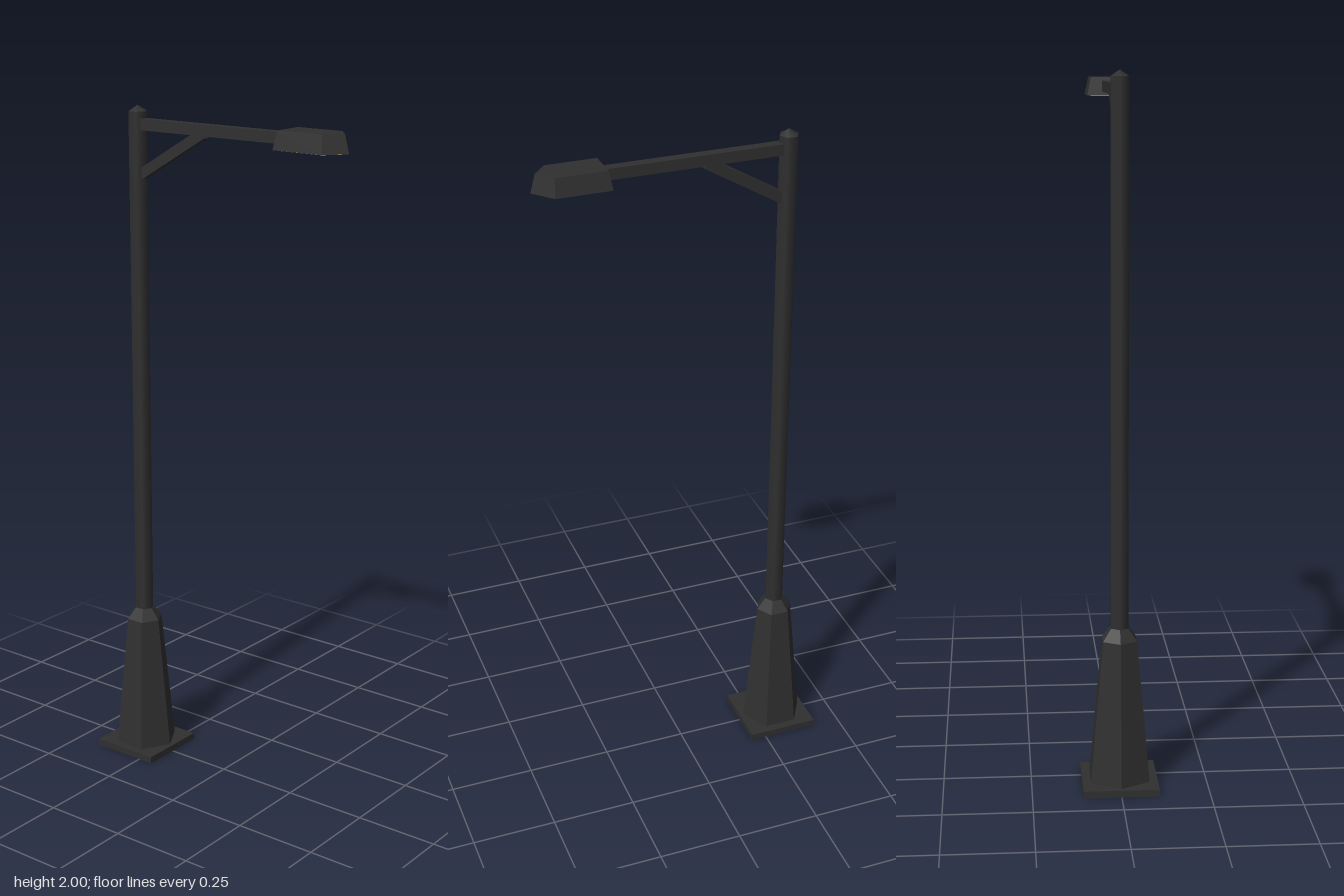
import * as THREE from 'three';
import { ConvexGeometry } from 'three/addons/geometries/ConvexGeometry.js';

const POLE_Z = -0.31;

export function createModel() {
  const model = new THREE.Group();
  model.name = 'streetLamp';

  const iron = new THREE.MeshStandardMaterial({ color: 0x303030 });
  iron.name = 'darkIron';
  const glass = new THREE.MeshStandardMaterial({ color: 0xdbc14a });
  glass.name = 'amberGlass';

  const add = (name, geometry, material, x, y, z) => {
    const mesh = new THREE.Mesh(geometry, material);
    mesh.name = name;
    mesh.position.set(x, y, z);
    model.add(mesh);
    return mesh;
  };

  // Hexagonal section standing between two heights, with flat or smooth sides
  const hexSection = (name, rBottom, rTop, y0, y1, smooth = false) => {
    let g = new THREE.CylinderGeometry(rTop, rBottom, y1 - y0, 6);
    if (!smooth) {
      g = g.toNonIndexed();
      g.computeVertexNormals();
    }
    return add(name, g, iron, 0, (y0 + y1) / 2, POLE_Z);
  };

  // Square foot, tapered hexagonal pedestal, pole and pointed cap
  add('basePlate', new THREE.BoxGeometry(0.214, 0.02, 0.214), iron, 0, 0.01, POLE_Z);
  hexSection('pedestal', 0.096, 0.055, 0.02, 0.43);
  hexSection('pedestalShoulder', 0.055, 0.028, 0.43, 0.464);
  hexSection('pole', 0.028, 0.028, 0.464, 1.983, true);
  hexSection('poleCap', 0.028, 0, 1.983, 2.0, true);

  // Horizontal arm
  const armStart = POLE_Z, armEnd = 0.215;
  add('arm', new THREE.BoxGeometry(0.029, 0.032, armEnd - armStart), iron, 0, 1.947, (armStart + armEnd) / 2);

  // Diagonal brace from the pole up to the arm
  const from = new THREE.Vector3(0, 1.802, -0.298);
  const to = new THREE.Vector3(0, 1.937, -0.07);
  const mid = from.clone().add(to).multiplyScalar(0.5);
  const brace = add('brace', new THREE.BoxGeometry(0.024, 0.03, from.distanceTo(to)), iron, mid.x, mid.y, mid.z);
  brace.rotation.x = -Math.atan2(to.y - from.y, to.z - from.z);

  // Five-sided outline of the lamp head: half width, back, shoulder and tip
  const outline = (w, back, shoulder, tip) => [
    [-w, back], [w, back], [w, shoulder], [0, tip], [-w, shoulder],
  ];

  // Lamp housing, narrower on top
  const ring = (points, y) => points.map(([x, z]) => new THREE.Vector3(x, y, z));
  const housing = new ConvexGeometry([
    ...ring(outline(0.058, 0.207, 0.365, 0.414), 1.92),
    ...ring(outline(0.047, 0.216, 0.361, 0.4), 1.972),
  ]);
  add('lampHousing', housing, iron, 0, 0, 0);

  // Thin glass lens under the housing
  const lensShape = new THREE.Shape(
    outline(0.047, 0.217, 0.36, 0.399).map(([x, z]) => new THREE.Vector2(x, z)));
  const lens = new THREE.ExtrudeGeometry(lensShape, { depth: 0.003, bevelEnabled: false });
  lens.rotateX(Math.PI / 2);
  add('lampLens', lens, glass, 0, 1.921, 0);

  return model;
}
